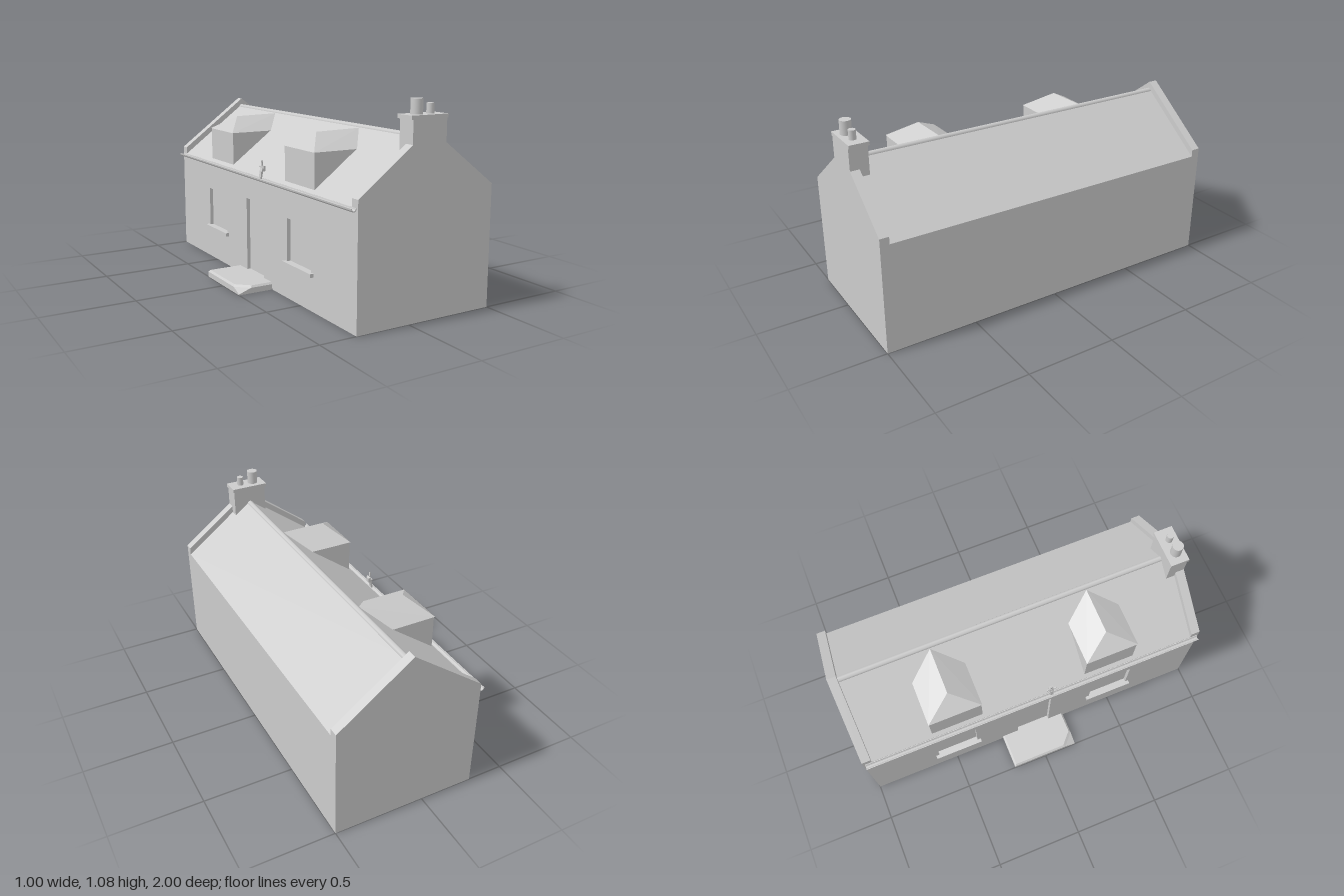
import * as THREE from 'three';
import { ConvexGeometry } from 'three/addons/geometries/ConvexGeometry.js';

const stone = new THREE.MeshStandardMaterial({ color: 0xcccccc });
stone.name = 'plain grey';

const V = (x, y, z) => new THREE.Vector3(x, y, z);
const polygon = pts => new THREE.Shape(pts.map(([x, y]) => new THREE.Vector2(x, y)));

export function createModel() {
  const cottage = new THREE.Group();
  cottage.name = 'cottage';

  const add = (name, geometry, parent = cottage) => {
    const mesh = new THREE.Mesh(geometry, stone);
    mesh.name = name;
    parent.add(mesh);
    return mesh;
  };
  // Box given by its extents
  const box = (name, x0, x1, y0, y1, z0, z1, parent) => {
    const mesh = add(name, new THREE.BoxGeometry(x1 - x0, y1 - y0, z1 - z0), parent);
    mesh.position.set((x0 + x1) / 2, (y0 + y1) / 2, (z0 + z1) / 2);
    return mesh;
  };
  // Profile in x,y drawn out along z
  const prism = (name, pts, z0, z1, parent) => {
    const mesh = add(name, new THREE.ExtrudeGeometry(polygon(pts), { depth: z1 - z0, bevelEnabled: false }), parent);
    mesh.position.z = z0;
    return mesh;
  };

  // Main body with pitched roof, set back behind the entrance facade
  prism('bodyAndRoof', [[-0.28, 0], [0.5, 0], [0.5, 0.6], [0.1, 0.9], [-0.28, 0.615]], -0.95, 0.95);

  // Raised gable walls at both ends
  const gable = [[-0.3, 0], [0.5, 0], [0.5, 0.64], [0.1, 0.94], [-0.3, 0.64]];
  prism('frontGable', gable, 0.95, 1);
  prism('backGable', gable, -1, -0.95);

  // Entrance facade with door and window openings, drawn in z,y and turned to face -x
  const openings = [[-0.6, -0.36, 0.2, 0.43], [0.36, 0.6, 0.2, 0.43], [-0.1, 0.1, 0.04, 0.455]];
  const wall = polygon([[-0.95, 0], [0.95, 0], [0.95, 0.6], [-0.95, 0.6]]);
  for (const [a, b, c, d] of openings) {
    wall.holes.push(new THREE.Path([[a, c], [a, d], [b, d], [b, c]].map(p => new THREE.Vector2(...p))));
  }
  const facade = add('facade', new THREE.ExtrudeGeometry(wall, { depth: 0.02, bevelEnabled: false }));
  facade.rotation.y = -Math.PI / 2;
  facade.position.x = -0.28;
  prism('roofEave', [[-0.3, 0.6], [-0.28, 0.6], [-0.28, 0.615]], -0.95, 0.95);

  // Window sills
  for (const [a, b, c] of openings.slice(0, 2)) box('windowSill', -0.32, -0.28, c - 0.02, c, a - 0.02, b + 0.02);

  // Ridge tile
  const ridge = add('ridgeTile', new THREE.CylinderGeometry(0.018, 0.018, 1.9, 8));
  ridge.rotation.x = Math.PI / 2;
  ridge.position.set(0.1, 0.885, 0);

  // Dormers: cheeks and front below a hipped roof
  for (const z of [-0.45, 0.45]) {
    const dormer = new THREE.Group();
    dormer.name = 'dormer';
    dormer.position.z = z;
    cottage.add(dormer);
    box('dormerWalls', -0.28, -0.035, 0.61, 0.8, -0.147, 0.147, dormer);
    add('dormerRoof', new ConvexGeometry([
      V(-0.285, 0.8, -0.15), V(-0.285, 0.8, 0.15), V(-0.033, 0.8, 0.15), V(-0.033, 0.8, -0.15),
      V(-0.18, 0.88, 0), V(0.08, 0.885, 0)
    ]), dormer);
  }

  // Chimney with cap and two pots
  box('chimneyStack', 0, 0.2, 0.8, 0.98, 0.9, 1);
  box('chimneyCap', -0.01, 0.208, 0.98, 1, 0.893, 1);
  for (const [x, r, h] of [[0.057, 0.03, 0.075], [0.138, 0.019, 0.05]]) {
    add('chimneyPot', new THREE.CylinderGeometry(r, r, h, 24)).position.set(x, 1 + h / 2, 0.95);
  }

  // Half-round gutter along the eave
  const arc = r => Array.from({ length: 7 }, (_, i) => {
    const a = Math.PI * (1 + i / 6);
    return [-0.316 + r * Math.cos(a), 0.6 + 1.2 * r * Math.sin(a)];
  });
  prism('gutter', [...arc(0.015), ...arc(0.011).reverse()], -0.99, 0.99);

  // Small figure perched on the eave
  const figure = new THREE.Group();
  figure.name = 'eaveFigure';
  cottage.add(figure);
  prism('figureLegs', [[-0.317, 0.596], [-0.309, 0.596], [-0.3, 0.638], [-0.312, 0.638]], 0.083, 0.103, figure);
  prism('figureBody', [[-0.312, 0.634], [-0.288, 0.638], [-0.287, 0.664], [-0.301, 0.668]], 0.08, 0.106, figure);
  prism('figureHead', [[-0.304, 0.662], [-0.298, 0.664], [-0.301, 0.7], [-0.307, 0.695]], 0.088, 0.098, figure);
  box('figureArms', -0.306, -0.3, 0.656, 0.663, 0.066, 0.12, figure);

  // Doorstep: square base, bevelled top with one corner cut away
  const ring = (y, e, cut) => [
    [-0.29, -0.2 + e], [-0.29, 0.195 - e],
    [-0.5 + e + 0.07 * cut, 0.195 - e], [-0.5 + e, 0.195 - e - 0.065 * cut], [-0.5 + e, -0.2 + e]
  ].map(([x, z]) => V(x, y, z));
  const rings = [ring(0, 0, 0), ring(0.005, 0, 0), ring(0.03, 0, 1), ring(0.04, 0.01, 1)];
  const pos = [];
  const tri = (...p) => p.forEach(v => pos.push(v.x, v.y, v.z));
  for (let k = 0; k < 3; k++) {
    for (let i = 0; i < 5; i++) {
      const j = (i + 1) % 5, [lo, hi] = [rings[k], rings[k + 1]];
      tri(lo[i], hi[j], lo[j]);
      tri(lo[i], hi[i], hi[j]);
    }
  }
  for (let i = 1; i < 4; i++) {
    tri(rings[3][0], rings[3][i + 1], rings[3][i]);
    tri(rings[0][0], rings[0][i], rings[0][i + 1]);
  }
  // Loops run clockwise seen from above, so flip every triangle outward where needed
  const centre = V(-0.395, 0.015, 0);
  for (let t = 0; t < pos.length; t += 9) {
    const [a, b, c] = [0, 3, 6].map(o => V(pos[t + o], pos[t + o + 1], pos[t + o + 2]));
    const n = b.clone().sub(a).cross(c.clone().sub(a));
    if (n.dot(a.clone().sub(centre)) < 0) {
      pos.splice(t + 3, 6, c.x, c.y, c.z, b.x, b.y, b.z);
    }
  }
  const step = new THREE.BufferGeometry();
  step.setAttribute('position', new THREE.Float32BufferAttribute(pos, 3));
  step.computeVertexNormals();
  add('doorstep', step);

  return cottage;
}
